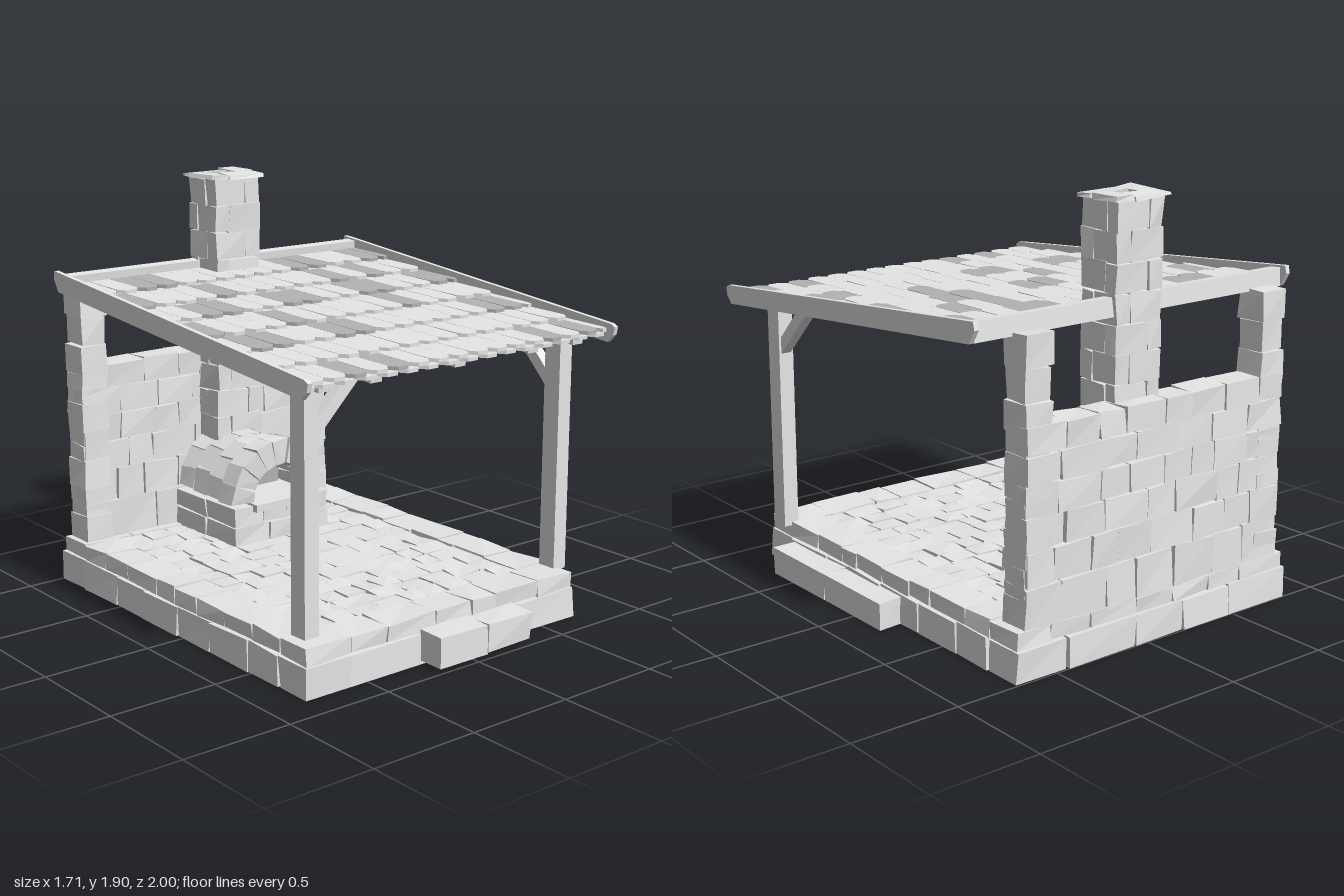
import * as THREE from 'three';
import { mergeGeometries } from 'three/addons/utils/BufferGeometryUtils.js';

const mat = (name, color, side) => {
  const m = new THREE.MeshStandardMaterial({ color, flatShading: true, side });
  m.name = name;
  return m;
};

export function createModel() {
  const model = new THREE.Group();
  model.name = 'ovenShelter';
  const light = mat('paleGrey', 0xe6e6e6, THREE.DoubleSide);
  const medium = mat('mediumGrey', 0xb3b3b3, THREE.FrontSide);

  let seed = 7;
  const rand = () => (seed = (seed * 16807) % 2147483647) / 2147483647;

  const add = (name, geo, material = light, parent = model) => {
    const m = new THREE.Mesh(geo, material);
    m.name = name;
    parent.add(m);
    return m;
  };
  // box from its limits
  const box = (x0, x1, y0, y1, z0, z1) =>
    new THREE.BoxGeometry(x1 - x0, y1 - y0, z1 - z0)
      .translate((x0 + x1) / 2, (y0 + y1) / 2, (z0 + z1) / 2);
  const polygon = pts => new THREE.Shape(pts.map(p => new THREE.Vector2(...p)));
  const extrude = (pts, depth) =>
    new THREE.ExtrudeGeometry(polygon(pts), { depth, bevelEnabled: false });

  // shift corners by a hash of their position, so that faces stay joined
  const hash = (a, b, c, k) => {
    const s = Math.sin(a * 12.99 + b * 78.23 + c * 37.72 + k * 11.13) * 43758.5453;
    return s - Math.floor(s) - 0.5;
  };
  const roughen = (geo, amount = 0.012) => {
    const g = geo.index ? geo.toNonIndexed() : geo;
    const p = g.attributes.position;
    for (let i = 0; i < p.count; i++) {
      const v = [p.getX(i), p.getY(i), p.getZ(i)];
      const r = v.map(n => Math.round(n * 1000));
      const d = [0, 1, 2].map(k => amount * hash(...r, k));
      p.setXYZ(i, v[0] + d[0], r[1] <= 3 ? v[1] : v[1] + d[1], v[2] + d[2]);
    }
    g.computeVertexNormals();
    return g;
  };
  const stone = (...b) => roughen(box(...b));
  // stone without its underside
  const openStone = (...b) => {
    const g = box(...b);
    const index = Array.from(g.index.array);
    index.splice(18, 6);
    g.setIndex(index);
    return roughen(g);
  };

  // row of uneven stones along x or z, pushed into a list
  const course = (list, axis, n, x0, x1, y0, y1, z0, z1, make = stone) => {
    const a = axis === 'x' ? x0 : z0, b = axis === 'x' ? x1 : z1, gap = 0.002;
    const cuts = [];
    for (let i = 0; i <= n; i++)
      cuts.push(a + (b - a) * (i + (i > 0 && i < n ? (rand() - 0.5) * 0.5 : 0)) / n);
    for (let i = 0; i < n; i++) {
      const s = cuts[i] + gap, e = cuts[i + 1] - gap;
      list.push(axis === 'x' ? make(s, e, y0 + gap, y1 - gap, z0, z1)
        : make(x0, x1, y0 + gap, y1 - gap, s, e));
    }
  };
  const masonry = (name, build) => {
    const list = [];
    build(list);
    return add(name, mergeGeometries(list));
  };

  // plinth: two courses of edging stones, hollow underneath
  masonry('plinthStones', l => {
    [[0, 0.14, 0, 5, 6], [0.14, 0.215, 0.012, 7, 8]].forEach(([y0, y1, i, nx, nz]) => {
      course(l, 'x', nx, -0.82 + i, 0.705 - i, y0, y1, 0.69, 0.87 - i, openStone);
      course(l, 'x', nx, -0.82 + i, 0.705 - i, y0, y1, -0.995 + i, -0.81, openStone);
      course(l, 'z', nz, -0.82 + i, -0.64, y0, y1, -0.805, 0.685, openStone);
      course(l, 'z', nz, 0.525, 0.705 - i, y0, y1, -0.805, 0.685, openStone);
    });
  });
  masonry('frontStep', l =>
    course(l, 'x', 2, -0.21, 0.315, 0.02, 0.155, 0.86, 0.994, openStone));
  masonry('sideStep', l =>
    course(l, 'z', 2, 0.69, 0.82, 0, 0.13, -0.2, 0.66, openStone));

  // floor paving
  masonry('floorPavers', l => {
    for (let i = 0; i < 14; i++) {
      const z = -0.807 + i * 0.1067;
      course(l, 'x', 8 + (i % 3), -0.637, 0.522, 0.148, 0.207, z + 0.002, z + 0.1047);
    }
  });

  // back wall with a solid core, and its end pillars
  masonry('backWall', l => {
    const rows = [0.2, 0.39, 0.54, 0.68, 0.81, 0.935, 1.05];
    for (let i = 0; i < 6; i++)
      course(l, 'x', 7 + (i % 2), -0.775, 0.645, rows[i], rows[i + 1], -0.98, -0.845);
    l.push(box(-0.76, 0.63, 0.2, 1.035, -0.95, -0.86).toNonIndexed());
  });
  masonry('wallPillars', l => {
    for (const x of [-0.78, 0.512])
      for (let i = 0; i < 9; i++) {
        const y = 0.2 + i * 0.1355, j = (i % 2) * 0.008;
        l.push(stone(x + j, x + 0.135 - j / 2, y + 0.002, y + 0.1335, -0.978 + j, -0.836 - j));
      }
  });

  // chimney: rings of four blocks round a flue, alternating in direction
  const ring = (l, x0, x1, y0, y1, z0, z1, hx0, hx1, hz0, hz1, flip) => {
    const g = 0.002;
    if (flip) {
      l.push(stone(x0, hx1 - g, y0, y1, hz1, z1), stone(hx1, x1, y0, y1, hz0 + g, z1),
        stone(hx0 + g, x1, y0, y1, z0, hz0), stone(x0, hx0, y0, y1, z0, hz1 - g));
    } else {
      l.push(stone(hx0 + g, x1, y0, y1, hz1, z1), stone(hx1, x1, y0, y1, z0, hz1 - g),
        stone(x0, hx1 - g, y0, y1, z0, hz0), stone(x0, hx0, y0, y1, hz0 + g, z1));
    }
  };
  masonry('chimney', l => {
    for (let i = 0; i < 10; i++) {
      const y = 0.61 + i * 0.1265;
      ring(l, -0.118, 0.13, y + 0.002, y + 0.1245, -0.907, -0.695, -0.045, 0.055, -0.845, -0.77, i % 2);
    }
  });
  masonry('chimneyCap', l =>
    ring(l, -0.14, 0.155, 1.873, 1.892, -0.925, -0.685, -0.045, 0.055, -0.845, -0.775, 0));
  add('flueInside', box(-0.055, 0.065, 1.86, 1.866, -0.855, -0.765), medium);

  // oven base, sill, arch and vault
  masonry('ovenBase', l => {
    for (const [y0, y1, n] of [[0.2, 0.295, 3], [0.295, 0.385, 4]]) {
      course(l, 'x', n, -0.268, 0.275, y0, y1, -0.6, -0.362);
      course(l, 'x', 3, -0.268, 0.275, y0, y1, -0.85, -0.605);
    }
  });
  add('ovenSill', box(-0.165, 0.165, 0.36, 0.396, -0.6, -0.335));
  const arch = (l, n, inner, outer, z0, z1) => {
    for (let i = 0; i < n; i++) {
      const a = Math.PI * i / n + 0.01, b = Math.PI * (i + 1) / n - 0.01;
      const pts = [[inner, a], [outer, a], [outer, b], [inner, b]]
        .map(([r, t]) => [r * Math.cos(t), r * Math.sin(t)]);
      l.push(roughen(extrude(pts, z1 - z0).translate(0.003, 0.4, z0)));
    }
  };
  masonry('ovenArch', l => arch(l, 9, 0.162, 0.28, -0.48, -0.37));
  masonry('ovenVault', l => {
    for (let i = 0; i < 3; i++)
      arch(l, 8 - (i % 2), 0.165, 0.267 - i * 0.004, -0.6 - i * 0.12, -0.485 - i * 0.12);
  });
  add('ovenBack', box(-0.165, 0.165, 0.395, 0.565, -0.612, -0.604), medium);

  // front posts and braces
  for (const [name, x] of [['rightPost', -0.755], ['leftPost', 0.662]])
    add(name, box(x, x + 0.073, 0.2, 1.275, 0.69, 0.78));
  const brace = () => extrude([[0, 1.02], [0.255, 1.275], [0.175, 1.275], [0, 1.095]], 0.05);
  add('crossBrace', brace().translate(-0.69, 0, 0.71));
  add('rakeBrace', brace().rotateY(Math.PI / 2).translate(0.674, 0, 0.7));

  // sloping roof, built flat and then tilted
  const roof = new THREE.Group();
  roof.name = 'roof';
  roof.position.y = 1.37;
  roof.rotation.x = 0.0895;
  model.add(roof);
  for (const x of [-0.72, -0.46, -0.01, 0.41, 0.68])
    add('rafter', box(x - 0.03, x + 0.03, -0.042, -0.02, -0.85, 0.87), light, roof);
  for (const s of [-1, 1]) {
    const profile = [[0.925, 0.045], [0.93, 0.01], [0.89, -0.045], [-0.9, -0.045],
      [-0.93, -0.008], [-0.935, 0.03], [-0.91, 0.04]];
    add('bargeBoard', extrude(profile, 0.022)
      .rotateY(Math.PI / 2).translate(s * 0.846 - 0.011, 0, 0), light, roof);
  }
  add('backBoard', box(-0.835, 0.835, -0.045, 0.036, -0.893, -0.84), light, roof);

  // shingles with clipped tails; listed x ranges hold the darker ones
  const W = 0.1083, tails = [-0.57, -0.31, -0.06, 0.2, 0.44, 0.68, 0.9];
  const darker = [
    [[-0.62, -0.4], [0.24, 0.47], [0.68, 0.84]],
    [[-0.81, -0.69], [-0.36, -0.24], [0.29, 0.4], [0.51, 0.62]],
    [[-0.62, -0.4], [-0.18, 0.03], [0.24, 0.47], [0.68, 0.84]],
    [[-0.81, -0.69], [-0.36, -0.24], [0.29, 0.4]],
    [[-0.74, -0.52], [-0.29, -0.07], [0.57, 0.79]],
    [],
    [[-0.63, -0.52], [-0.41, -0.29], [0.45, 0.57], [0.69, 0.8]],
  ];
  const shingle = extrude([[-0.5, 0], [-0.5, -0.25], [-0.25, -0.285], [0.25, -0.285],
    [0.5, -0.25], [0.5, 0]], 0.016).rotateX(-Math.PI / 2);
  const shingleRow = (start, y, tail, dark) => {
    for (let i = 0; i < 17; i++) {
      const a = Math.max(-0.835, start + i * W), b = Math.min(0.835, start + (i + 1) * W);
      if (b - a < 0.02) continue;
      const c = (a + b) / 2;
      const isDark = dark.some(([p, q]) => c > p && c < q);
      const m = add('shingle', shingle, isDark ? medium : light, roof);
      m.scale.x = b - a - 0.002;
      m.position.set(c, y, tail - 0.284);
      m.rotation.x = -0.06 - rand() * 0.014;
    }
  };
  // each row lies on a second layer set half a shingle aside
  tails.forEach((tail, row) => {
    const start = row % 2 ? -0.908 : -0.835;
    shingleRow(start, -0.016, tail, darker[row]);
    shingleRow(start - W / 2, -0.034, tail, []);
  });
  return model;
}
